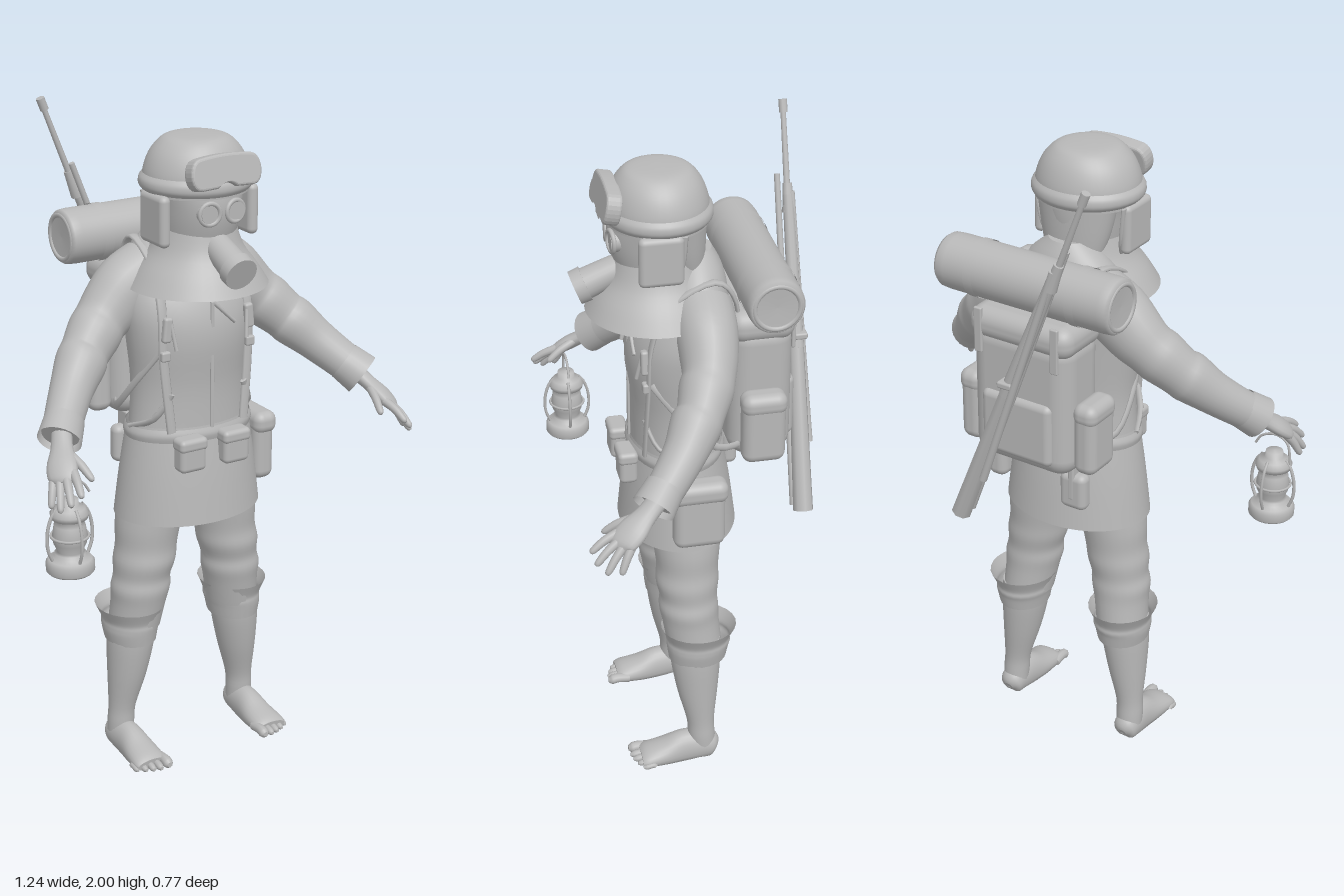
import * as THREE from 'three';
import { RoundedBoxGeometry } from 'three/addons/geometries/RoundedBoxGeometry.js';

const V = (x, y, z) => new THREE.Vector3(x, y, z);
const X = V(1, 0, 0), Y = V(0, 1, 0), Z = V(0, 0, 1);

// Smooth skin through elliptical sections [x, y, z, radiusU, radiusV]
function loft(sections, { ref = X, axis = null, sides = 24, steps = 4, caps = true, ripple = 0, waves = 10, floor = -1 } = {}) {
  const rows = [], n = sections.length;
  const at = (i) => sections[Math.min(n - 1, Math.max(0, i))];
  for (let i = 0; i < n - 1; i++) {
    for (let k = 0; k < steps + (i === n - 2 ? 1 : 0); k++) {
      const t = k / steps, t2 = t * t, t3 = t2 * t;
      rows.push(at(i).map((b, c) => {
        const a = at(i - 1)[c], d = at(i + 1)[c], e = at(i + 2)[c];
        return 0.5 * (2 * b + (d - a) * t + (2 * a - 5 * b + 4 * d - e) * t2 + (3 * b - a - 3 * d + e) * t3);
      }));
    }
  }
  const pos = [], index = [], m = rows.length;
  const center = (i) => V(...rows[Math.min(m - 1, Math.max(0, i))].slice(0, 3));
  const addRing = (i) => {
    const t = axis || center(i + 1).sub(center(i - 1)).normalize();
    const u = ref.clone().addScaledVector(t, -ref.dot(t)).normalize();
    const v = t.clone().cross(u);
    for (let j = 0; j < sides; j++) {
      const q = j / sides * Math.PI * 2, w = 1 + ripple * Math.cos(waves * q) * i / m;
      const p = center(i).addScaledVector(u, rows[i][3] * w * Math.cos(q)).addScaledVector(v, rows[i][4] * w * Math.sin(q));
      pos.push(p.x, Math.max(floor, p.y), p.z);
    }
  };
  for (let i = 0; i < m; i++) addRing(i);
  for (let i = 0; i < m - 1; i++) for (let j = 0; j < sides; j++) {
    const a = i * sides + j, b = i * sides + (j + 1) % sides;
    index.push(a, b, a + sides, b, b + sides, a + sides);
  }
  if (caps) for (const i of [0, m - 1]) {
    const base = pos.length / 3;
    addRing(i);
    const c = center(i);
    pos.push(c.x, Math.max(floor, c.y), c.z);
    for (let j = 0; j < sides; j++) {
      const k = base + (j + 1) % sides;
      if (i) index.push(base + sides, base + j, k); else index.push(base + sides, k, base + j);
    }
  }
  const g = new THREE.BufferGeometry();
  g.setAttribute('position', new THREE.Float32BufferAttribute(pos, 3));
  g.setIndex(index);
  g.computeVertexNormals();
  return g;
}

export function createModel() {
  const model = new THREE.Group();
  const grey = new THREE.MeshStandardMaterial({ color: 0xb8b8b8, side: THREE.DoubleSide });
  grey.name = 'plain grey';

  const add = (name, geo, x = 0, y = 0, z = 0, parent = model) => {
    const mesh = new THREE.Mesh(geo, grey);
    mesh.name = name;
    mesh.position.set(x, y, z);
    parent.add(mesh);
    return mesh;
  };
  const box = (name, w, h, d, x, y, z, r = 0.02) => add(name, new RoundedBoxGeometry(w, h, d, 4, r), x, y, z);
  // Upright shape from rows [y, centreZ, radiusX, radiusZ], listed bottom to top
  const body = (name, rows, opt = {}) => add(name, loft(rows.map(([y, z, a, b]) => [0, y, z, a, b]), { axis: Y, sides: 40, ...opt }));
  const rod = (name, a, b, r0, r1 = r0, sides = 10) => {
    const d = b.clone().sub(a), c = a.clone().add(b).multiplyScalar(0.5);
    const mesh = add(name, new THREE.CylinderGeometry(r1, r0, d.length(), sides), c.x, c.y, c.z);
    mesh.quaternion.setFromUnitVectors(Y, d.normalize());
    return mesh;
  };
  const strap = (name, pts, w, t, ref = X) => add(name, loft(pts.map((p) => [...p, w, t]), { ref, sides: 8 }));
  const wire = (name, pts, r) => add(name, new THREE.TubeGeometry(new THREE.CatmullRomCurve3(pts.map((p) => V(...p))), 20, r, 6));

  // Coat, skirt and belt
  body('coat', [[1.04, 0.03, 0.195, 0.13], [1.2, 0.03, 0.183, 0.13], [1.35, 0.032, 0.198, 0.143], [1.45, 0.02, 0.205, 0.138],
    [1.55, -0.01, 0.185, 0.115], [1.63, -0.025, 0.13, 0.085], [1.69, -0.03, 0.06, 0.05]]);
  body('coatSkirt', [[0.79, 0.025, 0.236, 0.178], [0.94, 0.027, 0.218, 0.16], [1.09, 0.03, 0.196, 0.136]], { caps: false, sides: 64 });
  body('belt', [[1.045, 0.03, 0.204, 0.143], [1.065, 0.03, 0.208, 0.147], [1.085, 0.03, 0.202, 0.141]], { caps: false });
  box('coatPlacket', 0.012, 0.4, 0.008, 0, 1.27, 0.168, 0.003);

  // Head, hood cape and helmet
  body('maskedHead', [[1.54, 0.07, 0.08, 0.1], [1.62, 0.075, 0.1, 0.115], [1.7, 0.08, 0.115, 0.135], [1.76, 0.08, 0.125, 0.143], [1.82, 0.075, 0.14, 0.14]]);
  body('hoodCape', [[1.51, 0.08, 0.21, 0.21], [1.56, 0.08, 0.178, 0.182], [1.62, 0.078, 0.135, 0.145], [1.69, 0.075, 0.11, 0.128]], { caps: false });
  body('helmet', [[1.785, 0.075, 0.157, 0.147], [1.84, 0.075, 0.157, 0.146], [1.89, 0.075, 0.14, 0.131], [1.925, 0.075, 0.112, 0.108],
    [1.942, 0.075, 0.08, 0.08], [1.946, 0.075, 0.02, 0.02]]);
  body('helmetBrim', [[1.79, 0.075, 0.155, 0.147], [1.805, 0.075, 0.168, 0.157], [1.825, 0.075, 0.168, 0.156], [1.84, 0.075, 0.157, 0.146]], { caps: false });
  body('neckFlap', [[1.62, -0.005, 0.085, 0.05], [1.7, 0.01, 0.11, 0.07], [1.8, 0.02, 0.13, 0.082]]);

  // Goggles on the helmet
  const g = new THREE.Shape();
  g.moveTo(-0.085, 0.035);
  g.quadraticCurveTo(0, 0.048, 0.085, 0.035);
  g.bezierCurveTo(0.115, 0.03, 0.115, -0.04, 0.085, -0.04);
  g.lineTo(0.035, -0.038);
  g.quadraticCurveTo(0, -0.01, -0.035, -0.038);
  g.lineTo(-0.085, -0.04);
  g.bezierCurveTo(-0.115, -0.04, -0.115, 0.03, -0.085, 0.035);
  const goggles = add('goggles', new THREE.ExtrudeGeometry(g, { depth: 0.03, bevelSize: 0.008, bevelThickness: 0.008, bevelSegments: 3, curveSegments: 10 }), 0, 1.862, 0.205);
  goggles.rotation.x = -0.2;
  const lens = add('goggleLens', new THREE.ShapeGeometry(g), 0, 1.862, 0.251);
  lens.rotation.x = -0.2;
  lens.scale.set(0.85, 0.75, 1);

  // Mask filter
  rod('maskFilter', V(0, 1.64, 0.19), V(0, 1.592, 0.305), 0.042, 0.047, 24);
  rod('filterCap', V(0, 1.6, 0.287), V(0, 1.588, 0.318), 0.052, 0.05, 24);

  for (const s of [-1, 1]) {
    // Mask eyes and ear flaps
    const eye = add('eyeRim', new THREE.TorusGeometry(0.031, 0.007, 8, 24), s * 0.042, 1.745, 0.218);
    const glass = add('eyeGlass', new THREE.CylinderGeometry(0.03, 0.033, 0.04, 24), s * 0.041, 1.745, 0.202);
    glass.rotation.x = Math.PI / 2;
    eye.rotation.y = s * 0.15;
    box('earFlap', 0.035, 0.15, 0.13, s * 0.148, 1.72, 0.095, 0.017);
    strap('chinStrap', [[s * 0.15, 1.79, 0.03], [s * 0.135, 1.68, 0.04], [s * 0.115, 1.62, 0.08]], 0.006, 0.012, X);

    // Sleeve with soft folds, then cuff
    const arm = [[0.1, 1.54, -0.03, 0.09, 0.09], [0.17, 1.495, -0.03, 0.09, 0.1], [0.23, 1.44, -0.025, 0.083, 0.092], [0.27, 1.405, -0.015, 0.077, 0.082],
      [0.3, 1.378, 0, 0.079, 0.083], [0.345, 1.335, 0.025, 0.07, 0.075], [0.37, 1.312, 0.045, 0.074, 0.077], [0.42, 1.262, 0.085, 0.063, 0.066],
      [0.47, 1.212, 0.135, 0.057, 0.06], [0.515, 1.167, 0.185, 0.053, 0.057]];
    add('sleeve', loft(arm.map(([x, ...r]) => [s * x, ...r]), { ref: Z }));
    add('sleeveCuff', loft([[s * 0.485, 1.197, 0.155, 0.057, 0.06], [s * 0.525, 1.157, 0.197, 0.063, 0.066]], { ref: Z, caps: false }));

    // Hand; flat across the spread of the fingers
    const spread = V(s * 0.7, -0.15, -0.7);
    add('palm', loft([[0.505, 1.175, 0.175, 0.03, 0.027], [0.53, 1.14, 0.22, 0.033, 0.022], [0.552, 1.11, 0.26, 0.045, 0.023],
      [0.566, 1.085, 0.292, 0.042, 0.018], [0.573, 1.073, 0.303, 0.025, 0.01]].map(([x, ...r]) => [s * x, ...r]), { ref: spread, sides: 16 }));
    [[0.538, 1.1, 0.3, 0.556, 1.055, 0.382], [0.558, 1.09, 0.295, 0.584, 1.03, 0.372], [0.57, 1.085, 0.282, 0.604, 1.008, 0.345],
      [0.58, 1.085, 0.265, 0.612, 1.008, 0.305], [0.52, 1.13, 0.25, 0.496, 1.078, 0.338]].forEach(([x, y, z, a, b, c], i) => {
      const f = (t, lift, r) => [s * (x + (a - x) * t), y + (b - y) * t + lift, z + (c - z) * t, r, r];
      add(i === 4 ? 'thumb' : 'finger', loft([f(0, 0, 0.014), f(0.5, 0.006, 0.0125), f(0.9, 0.001, 0.01), f(1, 0, 0.004)], { ref: spread, sides: 10 }));
    });

    // Trouser leg with folds, turned cuff, bare shin
    const up = (name, rows, opt = {}) => add(name, loft(rows.map(([x, y, z, a, b]) => [s * x, y, z, a, b]), { axis: Y, ...opt }));
    up('trouserLeg', [[0.178, 0.42, 0.005, 0.08, 0.085], [0.168, 0.5, 0.015, 0.085, 0.088], [0.163, 0.55, 0.02, 0.092, 0.092], [0.158, 0.59, 0.02, 0.088, 0.089],
      [0.15, 0.64, 0.022, 0.096, 0.097], [0.142, 0.69, 0.02, 0.095, 0.095], [0.134, 0.76, 0.02, 0.101, 0.102], [0.115, 0.86, 0.02, 0.105, 0.11]]);
    up('trouserCuff', [[0.188, 0.37, -0.003, 0.077, 0.09], [0.188, 0.405, -0.004, 0.084, 0.096], [0.186, 0.425, -0.006, 0.087, 0.1],
      [0.186, 0.445, -0.006, 0.088, 0.1], [0.187, 0.485, -0.007, 0.105, 0.117]], { caps: false });
    up('shin', [[0.222, 0.02, -0.015, 0.04, 0.042], [0.221, 0.08, -0.01, 0.042, 0.043], [0.217, 0.14, -0.007, 0.043, 0.044],
      [0.203, 0.25, 0, 0.06, 0.064], [0.192, 0.36, 0.004, 0.073, 0.078], [0.186, 0.44, 0.005, 0.075, 0.08]]);

    // Bare foot with a flat sole
    add('foot', loft([[0.222, 0.025, -0.058, 0.015, 0.015], [0.222, 0.03, -0.045, 0.037, 0.042], [0.222, 0.035, -0.01, 0.042, 0.055], [0.22, 0.03, 0.05, 0.044, 0.06],
      [0.22, 0.022, 0.11, 0.052, 0.043], [0.222, 0.018, 0.165, 0.055, 0.029], [0.222, 0.016, 0.185, 0.05, 0.018]].map(([x, ...r]) => [s * x, ...r]), { floor: 0 }));
    for (let i = 0; i < 5; i++) {
      const r = i ? 0.0115 - i * 0.0006 : 0.016, x = s * (i ? 0.183 + i * 0.0225 : 0.178), z = 0.208 - i * i * 0.002;
      add('toe', loft([[x, r, 0.15, r, r], [x, r + 0.004, z - 0.02, r, r], [x, r, z, r, r], [x, r, z + 0.011, r * 0.5, r * 0.5]], { sides: 10, floor: 0 }));
    }

    // Harness straps, chest clips and side pack pouches
    strap('shoulderStrap', [[s * 0.12, 1.4, -0.14], [s * 0.125, 1.56, -0.125], [s * 0.13, 1.63, -0.06], [s * 0.14, 1.57, 0.07],
      [s * 0.145, 1.45, 0.125], [s * 0.145, 1.3, 0.135], [s * 0.125, 1.08, 0.145]], 0.016, 0.007);
    strap('sideStrap', [[s * 0.125, 1.2, 0.145], [s * 0.165, 1.12, 0.11], [s * 0.2, 1.08, 0.03]], 0.007, 0.012, Z);
    strap('packStrap', [[s * 0.14, 1.1, -0.16], [s * 0.19, 1.12, -0.06], [s * 0.185, 1.22, 0.04], [s * 0.15, 1.33, 0.125]], 0.006, 0.012);
    box('strapClip', 0.028, 0.075, 0.022, s * 0.14, 1.4, 0.145, 0.008).rotation.z = s * 0.1;
    box('strapBuckle', 0.03, 0.03, 0.02, s * 0.145, 1.32, 0.143, 0.006);
    rod('clipHook', V(s * 0.12, 1.34, 0.165), V(s * 0.13, 1.42, 0.15), 0.006);
    box('packSidePouch', 0.075, 0.22, 0.13, s * 0.198, 1.18, -0.195, 0.03);
    box('packSideFlap', 0.08, 0.07, 0.136, s * 0.199, 1.262, -0.195, 0.03);

    // Bedroll straps and end discs
    const band = add('bedrollStrap', new THREE.CylinderGeometry(0.086, 0.086, 0.03, 32, 1, true), s * 0.172, 1.615, -0.205);
    band.rotation.z = Math.PI / 2;
    const end = add('bedrollEnd', new THREE.TorusGeometry(0.066, 0.008, 8, 32), s * 0.29, 1.615, -0.205);
    end.rotation.y = Math.PI / 2;
    box('bedrollTie', 0.026, 0.14, 0.012, s * 0.13, 1.47, -0.296, 0.004);
  }

  // Backpack and bedroll
  box('backpack', 0.34, 0.44, 0.19, 0, 1.27, -0.2, 0.06);
  box('packLid', 0.35, 0.1, 0.2, 0, 1.485, -0.2, 0.045);
  box('packFrontPocket', 0.24, 0.2, 0.05, 0, 1.19, -0.285, 0.022);
  const roll = add('bedroll', new THREE.LatheGeometry([[0, -0.29], [0.06, -0.292], [0.074, -0.295], [0.081, -0.285], [0.083, -0.26], [0.083, 0.26],
    [0.081, 0.285], [0.074, 0.295], [0.06, 0.292], [0, 0.29]].map((p) => new THREE.Vector2(...p)), 36), 0, 1.615, -0.205);
  roll.rotation.z = Math.PI / 2;
  strap('chestSling', [[-0.06, 1.52, 0.15], [0, 1.47, 0.163], [0.08, 1.395, 0.163]], 0.006, 0.006);

  // Belt pouches, hip bag and rear canteen
  for (const x of [-0.088, 0.062]) {
    box('beltPouch', 0.088, 0.1, 0.055, x, 1.02, 0.188, 0.016);
    box('beltPouchFlap', 0.094, 0.04, 0.06, x, 1.055, 0.189, 0.014);
  }
  box('hipBag', 0.07, 0.2, 0.155, 0.25, 0.93, 0.008, 0.028);
  box('hipBagFlap', 0.078, 0.07, 0.172, 0.252, 1.015, 0.008, 0.028);
  box('rearCanteen', 0.09, 0.12, 0.05, -0.11, 0.95, -0.16, 0.022);
  box('canteenStrap', 0.02, 0.13, 0.056, -0.11, 0.99, -0.158, 0.006);

  // Slung rifle with folded support rods
  rod('rifleBarrel', V(-0.12, 1.6, -0.347), V(-0.268, 1.985, -0.353), 0.011, 0.008);
  rod('rifleMuzzle', V(-0.258, 1.962, -0.353), V(-0.272, 1.998, -0.353), 0.013);
  rod('rifleSleeve', V(-0.155, 1.69, -0.35), V(-0.185, 1.77, -0.351), 0.02, 0.014);
  rod('rifleForeEnd', V(0.0, 1.32, -0.345), V(-0.17, 1.74, -0.35), 0.023, 0.016);
  rod('rifleStock', V(0.185, 0.86, -0.33), V(0.0, 1.32, -0.343), 0.031, 0.024, 8);
  rod('innerRod', V(0.165, 0.87, -0.305), V(-0.19, 1.8, -0.32), 0.012, 0.009);
  rod('outerRod', V(0.07, 1.03, -0.373), V(-0.17, 1.75, -0.36), 0.012, 0.01);
  box('rifleBolt', 0.05, 0.02, 0.04, -0.01, 1.36, -0.355, 0.006);

  // Lantern with globe, guards and handle
  const lx = -0.54, lz = 0.275;
  add('lanternBody', new THREE.LatheGeometry([[0, 0.79], [0.064, 0.79], [0.07, 0.797], [0.07, 0.822], [0.062, 0.832], [0.045, 0.838], [0.045, 0.85], [0.036, 0.853],
    [0.048, 0.88], [0.05, 0.905], [0.045, 0.935], [0.036, 0.95], [0.052, 0.955], [0.056, 0.97], [0.045, 0.985], [0.028, 0.993], [0.026, 1.012], [0, 1.014]]
    .map((p) => new THREE.Vector2(...p)), 28), lx, 0, lz);
  for (let i = 0; i < 4; i++) {
    const q = i * Math.PI / 2, c = Math.cos(q), d = Math.sin(q);
    wire('lanternGuard', [[0.055, 0.83], [0.07, 0.87], [0.071, 0.92], [0.058, 0.965], [0.04, 0.99]].map(([r, y]) => [lx + r * c, y, lz + r * d]), 0.005);
  }
  const guard = add('lanternRing', new THREE.TorusGeometry(0.054, 0.004, 6, 28), lx, 0.9, lz);
  guard.rotation.x = Math.PI / 2;
  wire('lanternHandle', [[lx + 0.065, 1.02, lz], [lx + 0.045, 1.05, lz], [lx, 1.067, lz], [lx - 0.04, 1.05, lz], [lx - 0.055, 0.98, lz]], 0.004);

  return model;
}
